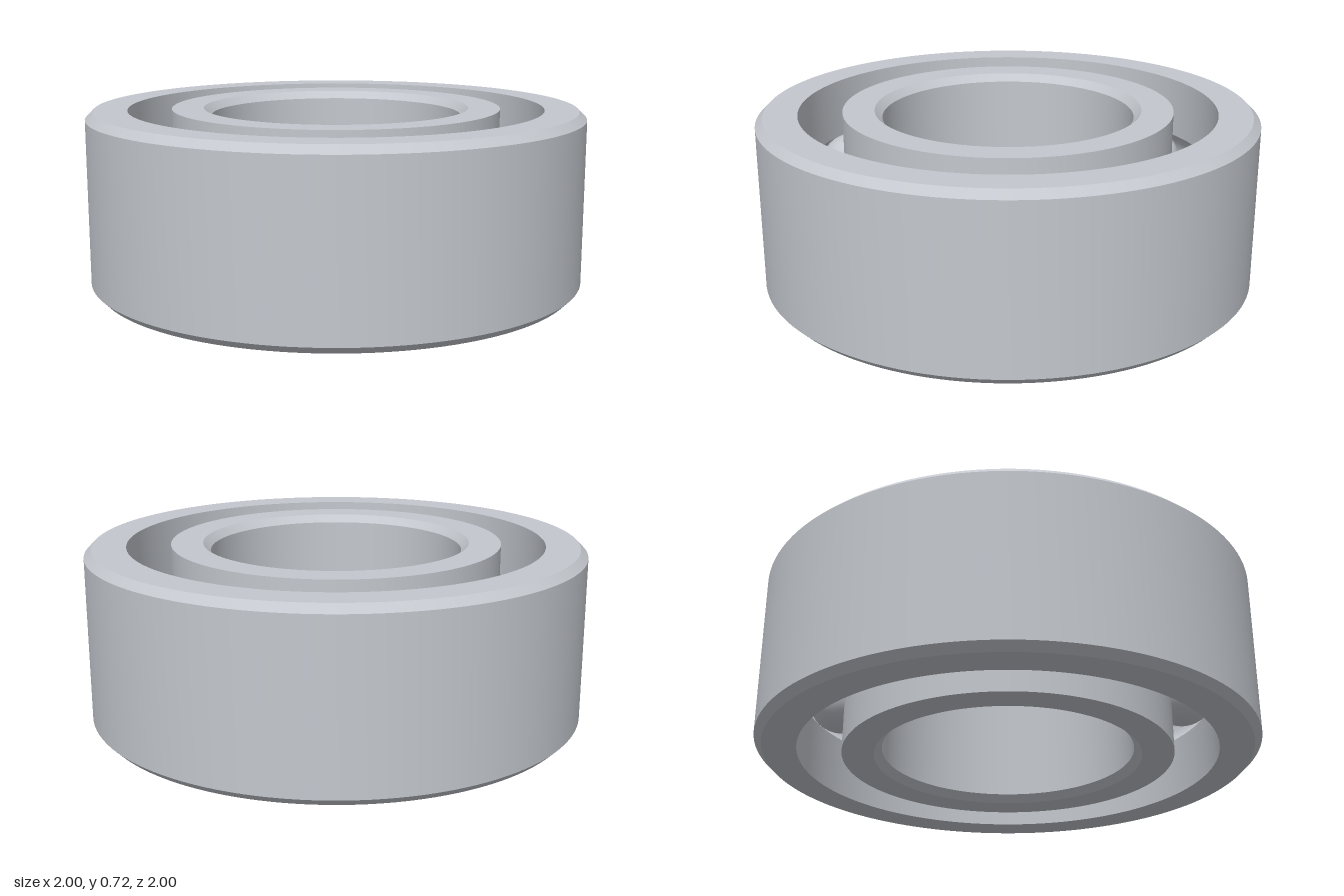
import * as THREE from 'three';
import { toCreasedNormals } from 'three/addons/utils/BufferGeometryUtils.js';

const H = 0.716, MID = H / 2, CHAMFER = 0.03;
const PITCH = 0.75, BALL = 0.139, COUNT = 12;

// Points of a raceway groove, an arc around the ball centre
function groove(from, to, steps = 16) {
  return Array.from({ length: steps + 1 }, (_, i) => {
    const a = from + ((to - from) * i) / steps;
    return [PITCH + Math.cos(a) * 0.14, MID + Math.sin(a) * 0.14];
  });
}

// Closed ring turned from a counter-clockwise profile
function ring(name, profile, material) {
  const points = [...profile, profile[0]].map(([x, y]) => new THREE.Vector2(x, y));
  const geometry = toCreasedNormals(new THREE.LatheGeometry(points, 128), 0.5);
  const mesh = new THREE.Mesh(geometry, material);
  mesh.name = name;
  return mesh;
}

export function createModel() {
  const model = new THREE.Group();
  model.name = 'ballBearing';
  const steel = new THREE.MeshStandardMaterial({ color: 0xc4c8ce });
  steel.name = 'steel';

  // Outer ring: chamfered outside, grooved inside
  const outerLip = 0.835;
  const a = Math.acos((outerLip - PITCH) / 0.14);
  model.add(ring('outerRing', [
    [1 - CHAMFER, 0], [1, CHAMFER], [1, H - CHAMFER], [1 - CHAMFER, H],
    [outerLip, H], ...groove(a, -a), [outerLip, 0],
  ], steel));

  // Inner ring: grooved outside, chamfered bore
  const innerLip = 0.66, bore = 0.503;
  const b = Math.acos((PITCH - innerLip) / 0.14);
  model.add(ring('innerRing', [
    [innerLip, 0], ...groove(Math.PI + b, Math.PI - b), [innerLip, H],
    [bore + CHAMFER, H], [bore, H - CHAMFER], [bore, CHAMFER], [bore + CHAMFER, 0],
  ], steel));

  // Balls evenly spaced in the raceway
  const balls = new THREE.Group();
  balls.name = 'balls';
  const ballGeometry = new THREE.SphereGeometry(BALL, 40, 24);
  for (let i = 0; i < COUNT; i++) {
    const angle = (i / COUNT) * Math.PI * 2;
    const ball = new THREE.Mesh(ballGeometry, steel);
    ball.name = 'ball';
    ball.position.set(Math.cos(angle) * PITCH, MID, Math.sin(angle) * PITCH);
    balls.add(ball);
  }
  model.add(balls);
  return model;
}
